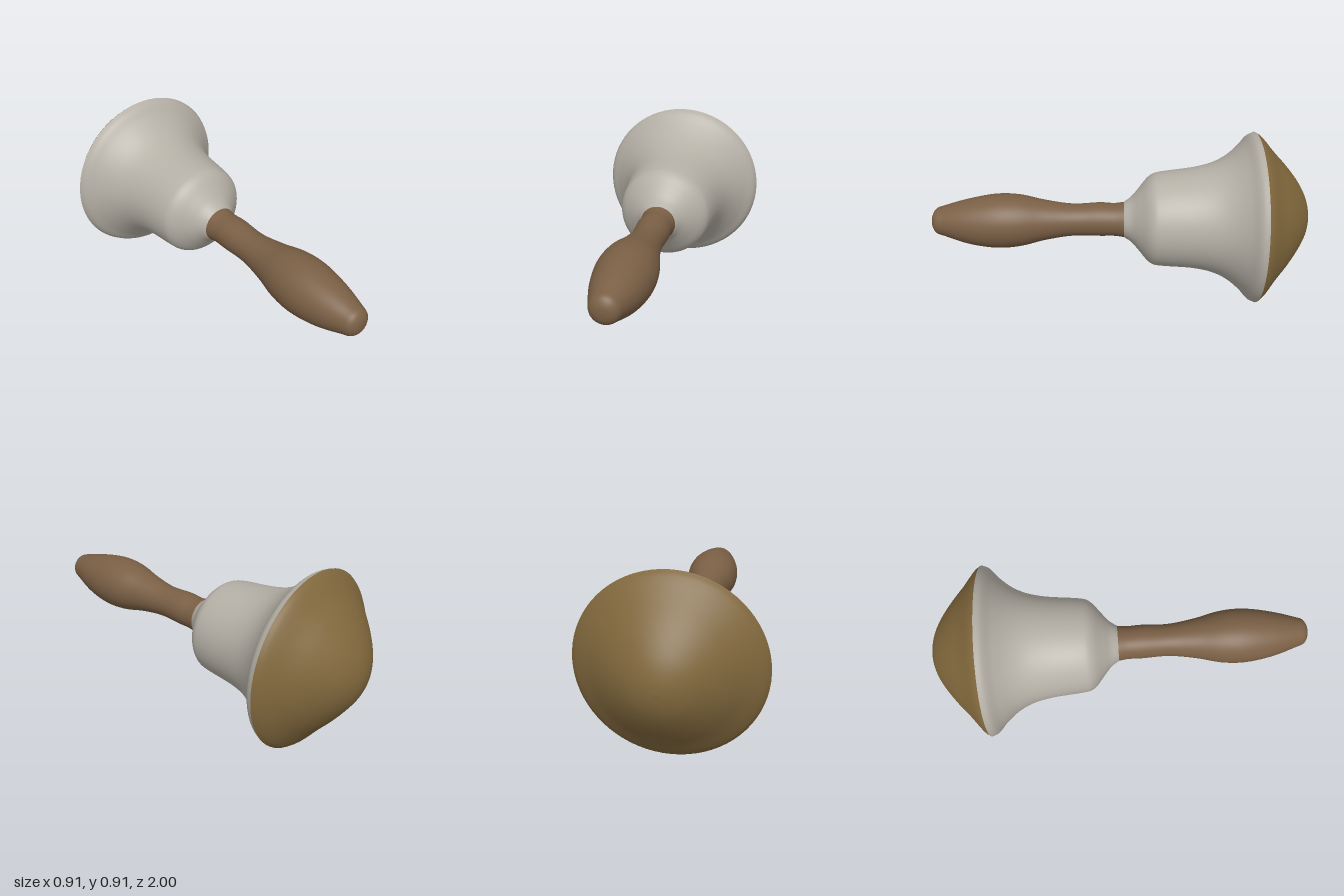
import * as THREE from 'three';

// Sections run from front (+z) to back: [z, radius, centre height]
const HANDLE = [
  [1, 0, 0.445], [0.995, 0.035, 0.445], [0.975, 0.066, 0.447], [0.93, 0.083, 0.447], [0.8, 0.122, 0.443],
  [0.65, 0.145, 0.445], [0.53, 0.138, 0.447], [0.4, 0.108, 0.448],
  [0.25, 0.086, 0.448], [0.1, 0.09, 0.45], [0.03, 0.088, 0.447], [-0.02, 0.094, 0.446],
];
const BODY = [
  [-0.02, 0.094, 0.446], [-0.06, 0.122, 0.447], [-0.1, 0.168, 0.447], [-0.145, 0.222, 0.447], [-0.175, 0.243, 0.448],
  [-0.21, 0.251, 0.45], [-0.4, 0.272, 0.455], [-0.5, 0.298, 0.456], [-0.57, 0.335, 0.456],
  [-0.635, 0.39, 0.456], [-0.68, 0.44, 0.455], [-0.71, 0.454, 0.455],
];
const MOUTH = [
  [-0.71, 0.454, 0.455], [-0.735, 0.434, 0.456], [-0.8, 0.355, 0.459], [-0.87, 0.275, 0.462],
  [-0.93, 0.195, 0.465], [-0.97, 0.125, 0.463], [-0.993, 0.055, 0.46], [-1, 0, 0.46],
];

// Smooth turned surface whose centre line drifts slightly in height
function turned(name, sections, color) {
  const curve = new THREE.CatmullRomCurve3(sections.map(([z, r, cy]) => new THREE.Vector3(r, z, cy)));
  const samples = curve.getPoints(sections.length * 5).reverse();
  const profile = samples.map(p => new THREE.Vector2(Math.max(p.x, 0), p.y));
  const geometry = new THREE.LatheGeometry(profile, 72);
  geometry.rotateX(Math.PI / 2);
  const pos = geometry.attributes.position;
  for (let i = 0; i < pos.count; i++) {
    pos.setY(i, pos.getY(i) + samples[i % samples.length].z);
  }
  const mesh = new THREE.Mesh(geometry, new THREE.MeshStandardMaterial({ color }));
  mesh.name = name;
  return mesh;
}

export function createModel() {
  const group = new THREE.Group();
  group.name = 'handBell';
  group.add(
    turned('handle', HANDLE, 0x7a5f45),
    turned('bellBody', BODY, 0xb5b0a6),
    turned('bellMouth', MOUTH, 0x80673c),
  );
  return group;
}
